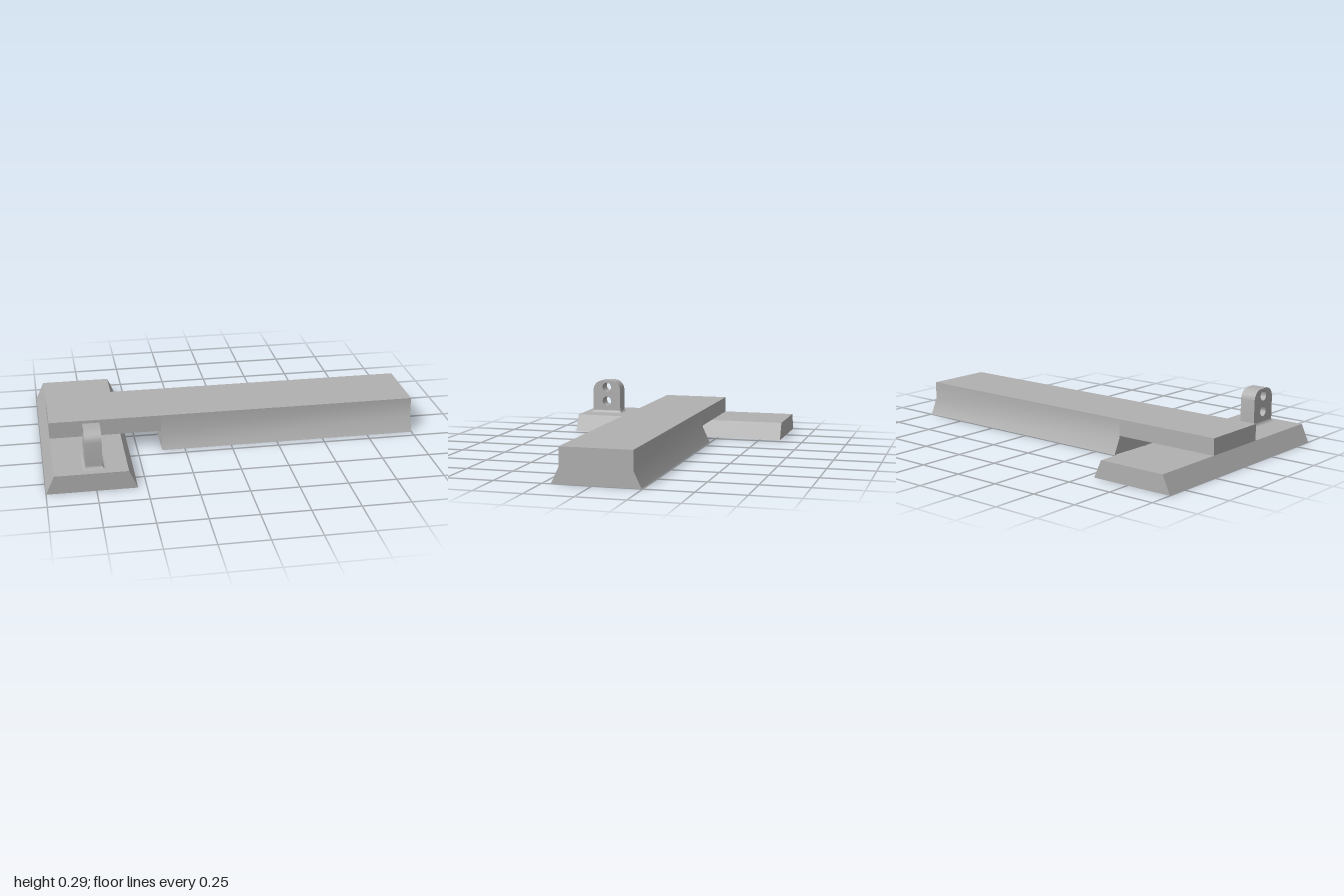
import * as THREE from 'three';
import { toCreasedNormals } from 'three/addons/utils/BufferGeometryUtils.js';

const grey = new THREE.MeshStandardMaterial({ color: 0xb0b0b0 });
grey.name = 'grey';

const polygon = (points) => new THREE.Shape(points.map(([x, y]) => new THREE.Vector2(x, y)));

// Extrudes a (-z, y) profile along x from x0 to x1
function extrudeAlongX(shape, x0, x1, curveSegments = 12) {
  const geo = new THREE.ExtrudeGeometry(shape, { depth: x1 - x0, bevelEnabled: false, curveSegments });
  geo.rotateY(Math.PI / 2);
  geo.translate(x0, 0, 0);
  return toCreasedNormals(geo, 0.6);
}

export function createModel() {
  const group = new THREE.Group();
  const add = (name, geo) => {
    const mesh = new THREE.Mesh(geo, grey);
    mesh.name = name;
    group.add(mesh);
    return mesh;
  };

  const deck = 0.095;   // top of the crossbar
  const top = 0.183;    // top of the long bar

  // Crossbar with sloping long sides
  const cross = polygon([[-1, 0], [-0.545, 0], [-0.587, deck], [-0.957, deck]]);
  const crossGeo = new THREE.ExtrudeGeometry(cross, { depth: 1.234, bevelEnabled: false });
  crossGeo.translate(0, 0, -0.617);
  add('crossbar', crossGeo);

  // Long bar: thin over the crossbar, full height with flared foot beyond it
  add('longBarOverlap', extrudeAlongX(
    polygon([[-0.165, deck], [0.205, deck], [0.205, top], [-0.165, top]]), -0.957, -0.37));
  add('longBar', extrudeAlongX(
    polygon([[-0.205, 0], [0.245, 0], [0.205, 0.085], [0.205, top], [-0.165, top], [-0.165, 0.085]]), -0.37, 1));

  // Upright lug with rounded top corners and two holes
  const hw = 0.085, lugTop = 0.29, r = 0.06;
  const lug = new THREE.Shape();
  lug.moveTo(-hw, deck);
  lug.lineTo(hw, deck);
  lug.lineTo(hw, lugTop - r);
  lug.absarc(hw - r, lugTop - r, r, 0, Math.PI / 2);
  lug.lineTo(-hw + r, lugTop);
  lug.absarc(-hw + r, lugTop - r, r, Math.PI / 2, Math.PI);
  lug.closePath();
  for (const y of [0.165, 0.25]) {
    lug.holes.push(new THREE.Path().absarc(0, y, 0.027, 0, Math.PI * 2, true));
  }
  add('lug', extrudeAlongX(lug, -0.798, -0.713)).position.z = 0.479;

  // Concave fillet around the foot of the lug
  const f = 0.016;
  const fillet = new THREE.CylinderGeometry(1, 1, 1, 4, 4, true);
  fillet.rotateY(Math.PI / 4);
  const p = fillet.attributes.position;
  for (let i = 0; i < p.count; i++) {
    const a = (p.getY(i) + 0.5) * Math.PI / 2;
    const out = f * (1 - Math.sin(a));
    p.setXYZ(i, Math.sign(p.getX(i)) * (0.0425 + out), f * (1 - Math.cos(a)),
      Math.sign(p.getZ(i)) * (hw + out));
  }
  add('lugFillet', toCreasedNormals(fillet, 0.6)).position.set(-0.7555, deck, 0.479);

  return group;
}
